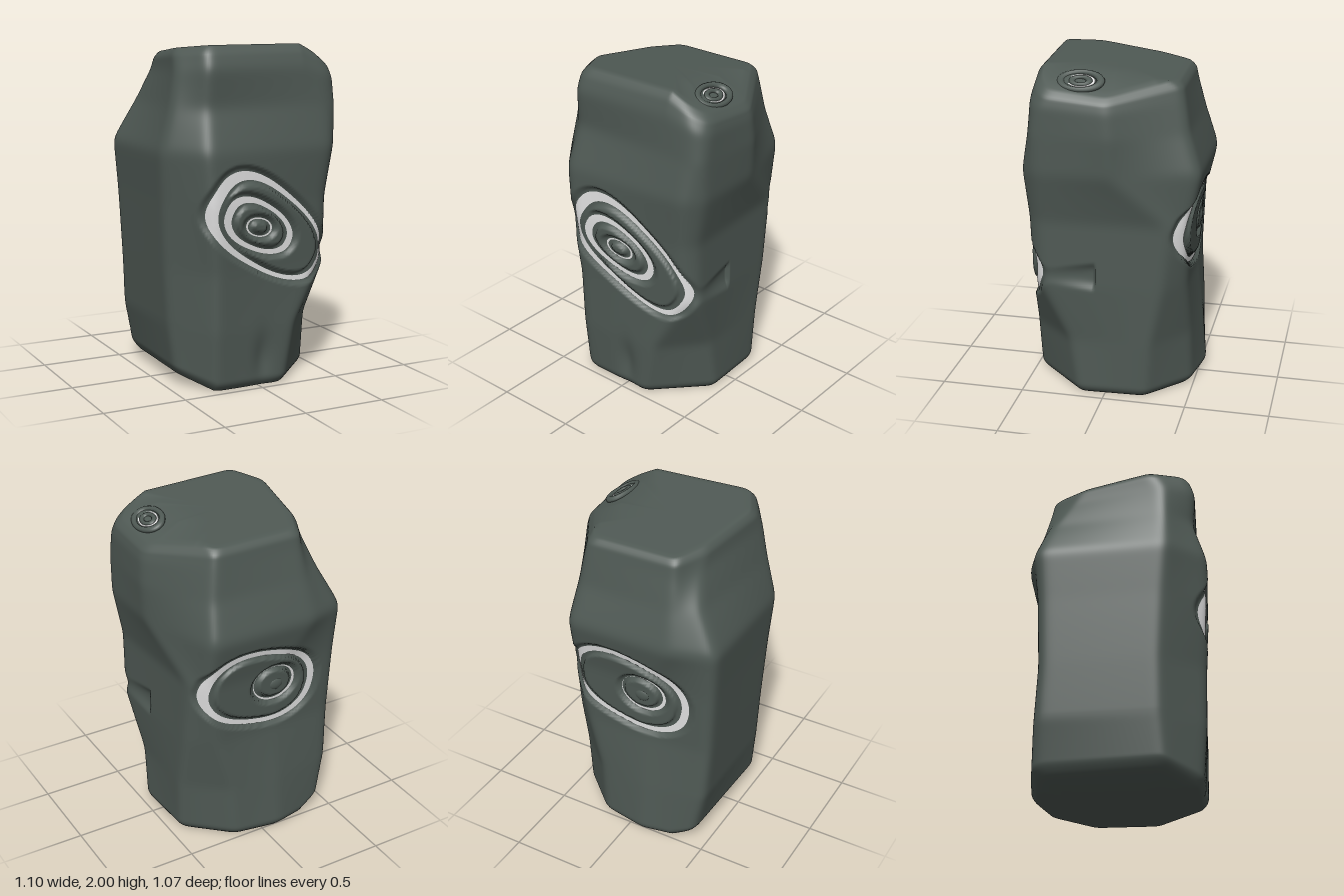
import * as THREE from 'three';

const COLS = 256, ROWS = 160, HEIGHT = 2, DEPTH = 0.026;

// Rock cross-sections: height, then eight [x, z] corners starting at the back left
const sections = [
  [0.0, [-.43, -.47], [-.1, -.54], [.18, -.49], [.44, -.25], [.46, .15], [.15, .47], [-.29, .47], [-.46, .27]],
  [0.35, [-.49, -.46], [-.1, -.51], [.2, -.48], [.45, -.27], [.45, .2], [.22, .47], [-.3, .5], [-.49, .25]],
  [0.7, [-.51, -.44], [-.1, -.47], [.3, -.47], [.445, -.34], [.49, .36], [.42, .44], [-.3, .51], [-.51, .25]],
  [1.1, [-.53, -.45], [-.1, -.49], [.37, -.49], [.44, -.38], [.485, .37], [.43, .45], [-.34, .54], [-.53, .27]],
  [1.4, [-.55, -.46], [-.3, -.55], [.37, -.55], [.54, -.05], [.54, .38], [.46, .48], [-.36, .53], [-.55, .3]],
  [1.65, [-.42, -.4], [-.27, -.48], [.33, -.47], [.55, -.05], [.54, .4], [.46, .44], [-.33, .45], [-.49, .3]],
  [1.87, [-.36, -.28], [-.27, -.43], [.3, -.44], [.54, -.04], [.54, .36], [.47, .42], [-.33, .47], [-.45, .28]],
  [2.0, [-.36, -.2], [-.27, -.41], [.28, -.42], [.52, -.03], [.52, .32], [.42, .38], [-.32, .42], [-.43, .2]],
];

// Carved ovals: side (+1 front, -1 back), centre, half axes, tilt, squareness, taper,
// inner edge as a share, and how much thicker the band is toward one direction
const grooves = [
  { name: 'frontOuterRing', side: 1, x: .057, y: .937, a: .445, b: .24, tilt: -.6, power: 2.5, taper: .13,
    inner: .88, swell: .3, toward: Math.PI },
  { name: 'frontMiddleRing', side: 1, x: -.015, y: .96, a: .255, b: .142, tilt: -.48, power: 2.3, taper: .1,
    inner: .81, swell: .1, toward: Math.PI },
  { name: 'frontInnerRing', side: 1, x: -.015, y: .957, a: .092, b: .056, tilt: -.25, power: 2.1, taper: 0,
    inner: .86, swell: 0, toward: 0 },
  { name: 'backOuterRing', side: -1, x: .01, y: 1.01, a: .39, b: .25, tilt: .22, power: 2.3, taper: 0,
    inner: .88, swell: 0, toward: 0 },
  { name: 'backInnerRing', side: -1, x: -.085, y: 1.01, a: .145, b: .115, tilt: .1, power: 2, taper: 0,
    inner: .92, swell: .9, toward: -2.4 },
];

const innerEdge = (g, angle) => 1 - (1 - g.inner) * (1 + g.swell * Math.cos(angle - g.toward));

// Distance from the centre to a polygon's edge along a direction
function polygonRadius(points, dx, dz) {
  for (let i = 0; i < points.length; i++) {
    const [ax, az] = points[i], [bx, bz] = points[(i + 1) % points.length];
    const ex = bx - ax, ez = bz - az, det = dx * ez - dz * ex;
    if (Math.abs(det) < 1e-9) continue;
    const r = (ax * ez - az * ex) / det, u = (ax * dz - az * dx) / det;
    if (r > 0 && u >= -1e-6 && u <= 1 + 1e-6) return r;
  }
  return 0.4;
}

// Grid of radii, blurred so that the ridges look worn
function makeRadii() {
  let grid = [];
  for (let i = 0; i <= ROWS; i++) {
    const y = HEIGHT * i / ROWS;
    let k = 0;
    while (k < sections.length - 2 && sections[k + 1][0] < y) k++;
    const [y0, ...p0] = sections[k], [y1, ...p1] = sections[k + 1];
    const t = (y - y0) / (y1 - y0);
    const ring = p0.map((p, n) => [p[0] + (p1[n][0] - p[0]) * t, p[1] + (p1[n][1] - p[1]) * t]);
    grid.push(Array.from({ length: COLS }, (_, j) => {
      const angle = j / COLS * Math.PI * 2;
      return polygonRadius(ring, Math.cos(angle), Math.sin(angle));
    }));
  }
  for (let pass = 0; pass < 12; pass++) {
    grid = grid.map((row, i) => row.map((r, j) => {
      const up = grid[Math.min(ROWS, i + 1)][j], down = grid[Math.max(0, i - 1)][j];
      return (r + 1.5 * (up + down) + row[(j + 1) % COLS] + row[(j + COLS - 1) % COLS]) / 6;
    }));
  }
  return grid;
}

function sampleRadius(grid, angle, y) {
  const u = ((angle / (Math.PI * 2)) % 1 + 1) % 1 * COLS, v = THREE.MathUtils.clamp(y / HEIGHT, 0, 1) * ROWS;
  const j = Math.floor(u) % COLS, i = Math.min(ROWS - 1, Math.floor(v)), fu = u - Math.floor(u), fv = v - i;
  const mix = row => row[j] * (1 - fu) + row[(j + 1) % COLS] * fu;
  return mix(grid[i]) * (1 - fv) + mix(grid[i + 1]) * fv;
}

// Depth carved into the rock at a point
function carve(x, y, z) {
  let depth = 0;
  for (const g of grooves) {
    if (z * g.side < 0.05) continue;
    const dx = x - g.x, dy = y - g.y, c = Math.cos(g.tilt), s = Math.sin(g.tilt);
    const u = (dx * c + dy * s) / g.a, v = (dy * c - dx * s) / (g.b * Math.max(0.3, 1 - g.taper * u));
    const rho = (Math.abs(u) ** g.power + Math.abs(v) ** g.power) ** (1 / g.power);
    const outside = Math.max(innerEdge(g, Math.atan2(v, u)) - rho, rho - 1, 0) * g.b;
    depth = Math.max(depth, DEPTH * (1 - THREE.MathUtils.smoothstep(outside, 0.008, 0.024)));
  }
  // chipped crease near the foot of the front
  if (z > 0.2) depth += 0.025 * Math.exp(-(((x - .02) / .06) ** 2) - ((y - .17) / .14) ** 2);
  return depth;
}

function makeRock(grid) {
  const rows = [];
  for (const f of [0, .3, .6, .85]) rows.push([0, f]);
  for (let i = 0; i <= ROWS; i++) {
    const y = HEIGHT * i / ROWS, edge = Math.max(0, 1 - Math.min(y, HEIGHT - y) / 0.06);
    rows.push([y, 1 - 0.07 * edge * edge]);
  }
  for (const f of [.85, .6, .3, 0]) rows.push([HEIGHT, f]);
  const positions = [], index = [];
  rows.forEach(([y, f], i) => {
    for (let j = 0; j < COLS; j++) {
      const angle = j / COLS * Math.PI * 2, c = Math.cos(angle), s = Math.sin(angle);
      let r = sampleRadius(grid, angle, y);
      r = (r - carve(r * c, y, r * s)) * f;
      const x = r * c, z = r * s;
      // sloping top, and an underside that rises on one side
      const slope = 0.1 * Math.max(0, 0.4 - z) + 0.5 * Math.max(0, x - 0.3);
      const drop = slope * Math.max(0, (y - 1.4) / 0.6) ** 2;
      const lift = Math.max(0, 1 - y / 0.4) * 0.5 * Math.max(0, -x - 0.28);
      positions.push(x, y - drop + lift, z);
      if (i < rows.length - 1) {
        const a = i * COLS + j, b = i * COLS + (j + 1) % COLS;
        index.push(a, a + COLS, b, b, a + COLS, b + COLS);
      }
    }
  });
  return buildGeometry(positions, index);
}

// Thin band laid on the floor of a groove
function makeBand(grid, g) {
  const steps = 128, across = 4, positions = [], index = [];
  const round = t => Math.sign(t) * Math.abs(t) ** (2 / g.power);
  for (let i = 0; i < steps; i++) {
    const angle = i / steps * Math.PI * 2, cu = round(Math.cos(angle)), cv = round(Math.sin(angle));
    const inner = innerEdge(g, Math.atan2(cv, cu));
    for (let k = 0; k <= across; k++) {
      const rho = inner + (1 - inner) * k / across;
      const u = g.a * rho * cu, v = g.b * rho * cv * (1 - g.taper * rho * cu);
      const x = g.x + u * Math.cos(g.tilt) - v * Math.sin(g.tilt);
      const y = g.y + u * Math.sin(g.tilt) + v * Math.cos(g.tilt);
      let low = 0, high = 0.9;
      for (let n = 0; n < 30; n++) {
        const mid = (low + high) / 2, r = sampleRadius(grid, Math.atan2(mid * g.side, x), y) - DEPTH + 0.005;
        if (Math.hypot(x, mid) < r) low = mid; else high = mid;
      }
      positions.push(x, y, low * g.side);
      if (k < across) {
        const a = i * (across + 1) + k, b = ((i + 1) % steps) * (across + 1) + k;
        if (g.side > 0) index.push(a, a + 1, b, b, a + 1, b + 1);
        else index.push(a, b, a + 1, b, b + 1, a + 1);
      }
    }
  }
  return buildGeometry(positions, index);
}

function buildGeometry(positions, index) {
  const geometry = new THREE.BufferGeometry();
  geometry.setAttribute('position', new THREE.Float32BufferAttribute(positions, 3));
  geometry.setIndex(index);
  geometry.computeVertexNormals();
  return geometry;
}

export function createModel() {
  const stone = new THREE.MeshStandardMaterial({ color: 0x4f5954 });
  stone.name = 'dark stone';
  const pale = new THREE.MeshStandardMaterial({ color: 0xe4e4e4, side: THREE.DoubleSide });
  pale.name = 'pale inlay';
  const model = new THREE.Group();
  model.name = 'carvedStone';
  const add = (parent, name, geometry, material) => {
    const mesh = new THREE.Mesh(geometry, material);
    mesh.name = name;
    parent.add(mesh);
    return mesh;
  };

  const grid = makeRadii();
  add(model, 'rock', makeRock(grid), stone);
  for (const g of grooves) add(model, g.name, makeBand(grid, g), pale);

  // Small knob in the middle of the back carving
  const knob = add(model, 'backKnob', new THREE.SphereGeometry(1, 24, 12), stone);
  knob.scale.set(0.05, 0.04, 0.02);
  knob.position.set(-0.085, 1.01, -0.475);

  // Small oval carving on the top right corner
  const corner = new THREE.Group();
  corner.name = 'cornerCarving';
  const ring = (name, radius, tube, material) => {
    const mesh = add(corner, name, new THREE.TorusGeometry(radius, tube, 10, 48), material);
    mesh.rotation.x = Math.PI / 2;
    mesh.scale.set(0.66, 1, 0.7);
  };
  ring('cornerOuterRing', 0.115, 0.024, stone);
  ring('cornerInlay', 0.076, 0.008, pale);
  ring('cornerInnerRing', 0.05, 0.019, stone);
  corner.position.set(0.4, 1.924, 0.137);
  corner.rotation.z = -0.46;
  model.add(corner);
  return model;
}
